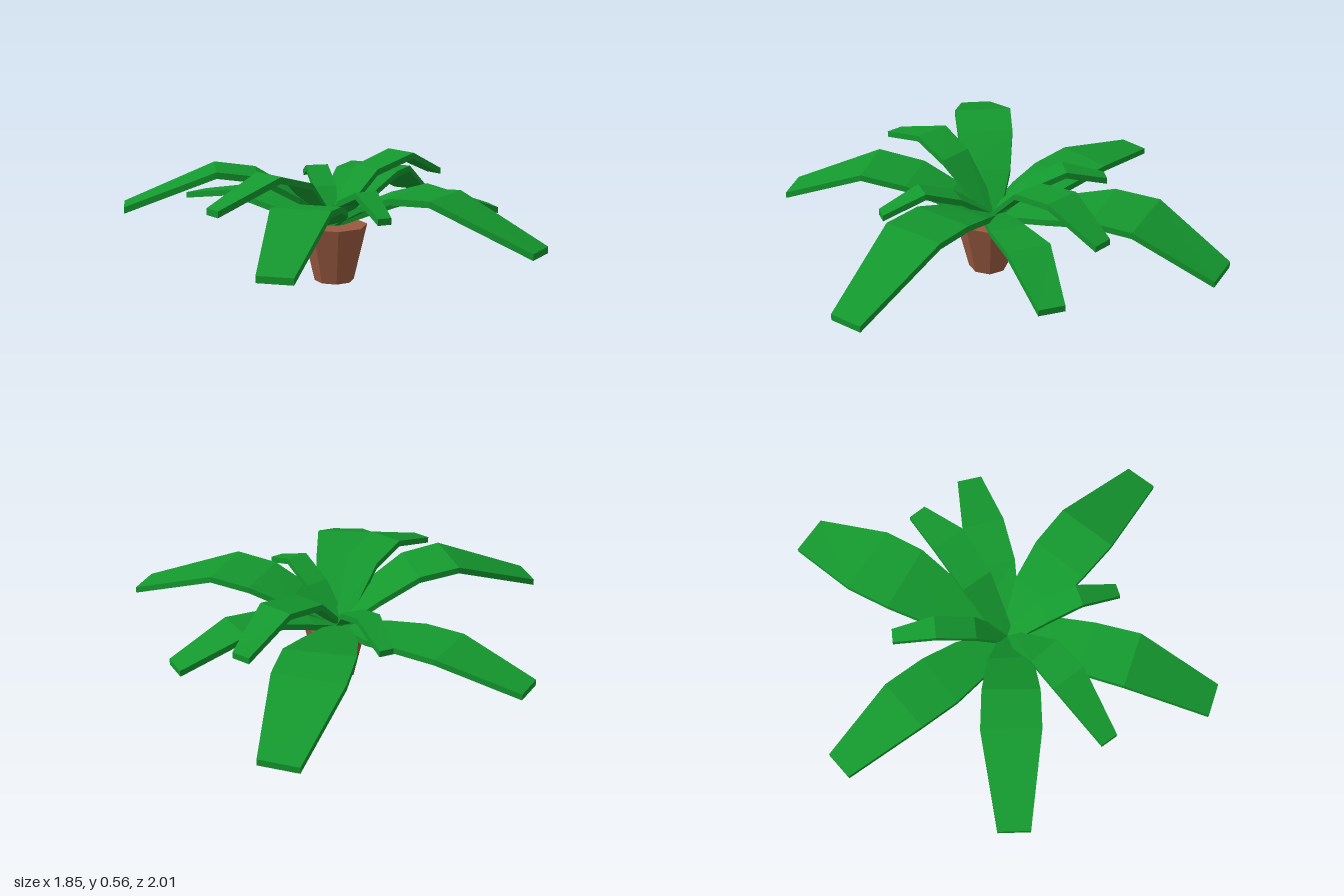
import * as THREE from 'three';

const POT_X = 0.055, POT_Z = 0.035, POT_H = 0.27;
const THICKNESS = 0.03;
const BASE = [0.04, 0.01, 0.28, 0.035];

const leafMaterial = new THREE.MeshStandardMaterial({ color: 0x14982e, flatShading: true });
const potMaterial = new THREE.MeshStandardMaterial({ color: 0x9a5a40, flatShading: true });

// Sweeps a flat rectangular section through rows of [x, z, topY, halfWidth].
function leafGeometry(path) {
  const rows = [BASE, ...path];
  const positions = [];
  const index = [];
  rows.forEach(([x, z, y, w], i) => {
    const a = rows[Math.max(i - 1, 0)], b = rows[Math.min(i + 1, rows.length - 1)];
    const side = new THREE.Vector2(-(b[1] - a[1]), b[0] - a[0]).normalize().multiplyScalar(w);
    const right = [x + side.x, z + side.y], left = [x - side.x, z - side.y];
    positions.push(left[0], y, left[1], right[0], y, right[1]);
    positions.push(right[0], y - THICKNESS, right[1], left[0], y - THICKNESS, left[1]);
  });
  for (let r = 0; r < rows.length - 1; r++) {
    for (let i = 0; i < 4; i++) {
      const a = r * 4 + i, b = r * 4 + (i + 1) % 4;
      index.push(a, b, b + 4, a, b + 4, a + 4);
    }
  }
  // end caps
  const t = (rows.length - 1) * 4;
  index.push(0, 2, 1, 0, 3, 2, t, t + 1, t + 2, t, t + 2, t + 3);
  const geometry = new THREE.BufferGeometry();
  geometry.setAttribute('position', new THREE.Float32BufferAttribute(positions, 3));
  geometry.setIndex(index);
  const flat = geometry.toNonIndexed();
  flat.computeVertexNormals();
  return flat;
}

export function createModel() {
  const model = new THREE.Group();
  model.name = 'pottedPlant';

  // Tapered eight-sided pot
  const pot = new THREE.Mesh(new THREE.CylinderGeometry(0.157, 0.094, POT_H, 8), potMaterial);
  pot.name = 'pot';
  pot.position.set(POT_X, POT_H / 2, POT_Z);
  model.add(pot);

  const leaves = new THREE.Group();
  leaves.name = 'leaves';
  model.add(leaves);
  const addLeaf = (name, ...path) => {
    const leaf = new THREE.Mesh(leafGeometry(path), leafMaterial);
    leaf.name = name;
    leaves.add(leaf);
  };

  // Large drooping leaves
  addLeaf('largeLeafRight', [-0.12, 0.02, 0.42, 0.105], [-0.31, 0.02, 0.53, 0.133],
    [-0.5, 0.018, 0.555, 0.138], [-0.925, 0.025, 0.39, 0.075]);
  addLeaf('largeLeafBackRight', [-0.09, -0.17, 0.315, 0.11], [-0.2, -0.31, 0.345, 0.135],
    [-0.325, -0.475, 0.36, 0.135], [-0.585, -0.775, 0.28, 0.071]);
  addLeaf('largeLeafBackLeft', [0.17, -0.27, 0.37, 0.125], [0.28, -0.47, 0.435, 0.165],
    [0.38, -0.65, 0.43, 0.167], [0.595, -0.96, 0.255, 0.094]);
  addLeaf('largeLeafLeft', [0.2, -0.005, 0.34, 0.07], [0.37, -0.03, 0.39, 0.083],
    [0.57, -0.1, 0.41, 0.102], [0.868, -0.167, 0.3, 0.06]);
  addLeaf('largeLeafFrontLeft', [0.22, 0.145, 0.4, 0.115], [0.355, 0.26, 0.46, 0.143],
    [0.51, 0.395, 0.475, 0.147], [0.87, 0.69, 0.29, 0.078]);
  addLeaf('largeLeafFront', [0, 0.2, 0.38, 0.1], [-0.08, 0.37, 0.44, 0.13],
    [-0.155, 0.58, 0.47, 0.135], [-0.295, 0.97, 0.285, 0.08]);

  // Small upright leaves
  addLeaf('smallLeafBack', [0.03, -0.14, 0.42, 0.055], [0.01, -0.325, 0.49, 0.055],
    [-0.007, -0.527, 0.43, 0.033]);
  addLeaf('smallLeafBackLeft', [0.23, -0.13, 0.51, 0.078], [0.42, -0.26, 0.565, 0.085],
    [0.617, -0.415, 0.45, 0.045]);
  addLeaf('smallLeafFront', [0.105, 0.18, 0.42, 0.055], [0.16, 0.345, 0.49, 0.053],
    [0.215, 0.535, 0.41, 0.032]);
  addLeaf('smallLeafFrontRight', [-0.12, 0.175, 0.51, 0.08], [-0.27, 0.28, 0.565, 0.085],
    [-0.528, 0.46, 0.45, 0.042]);

  return model;
}
